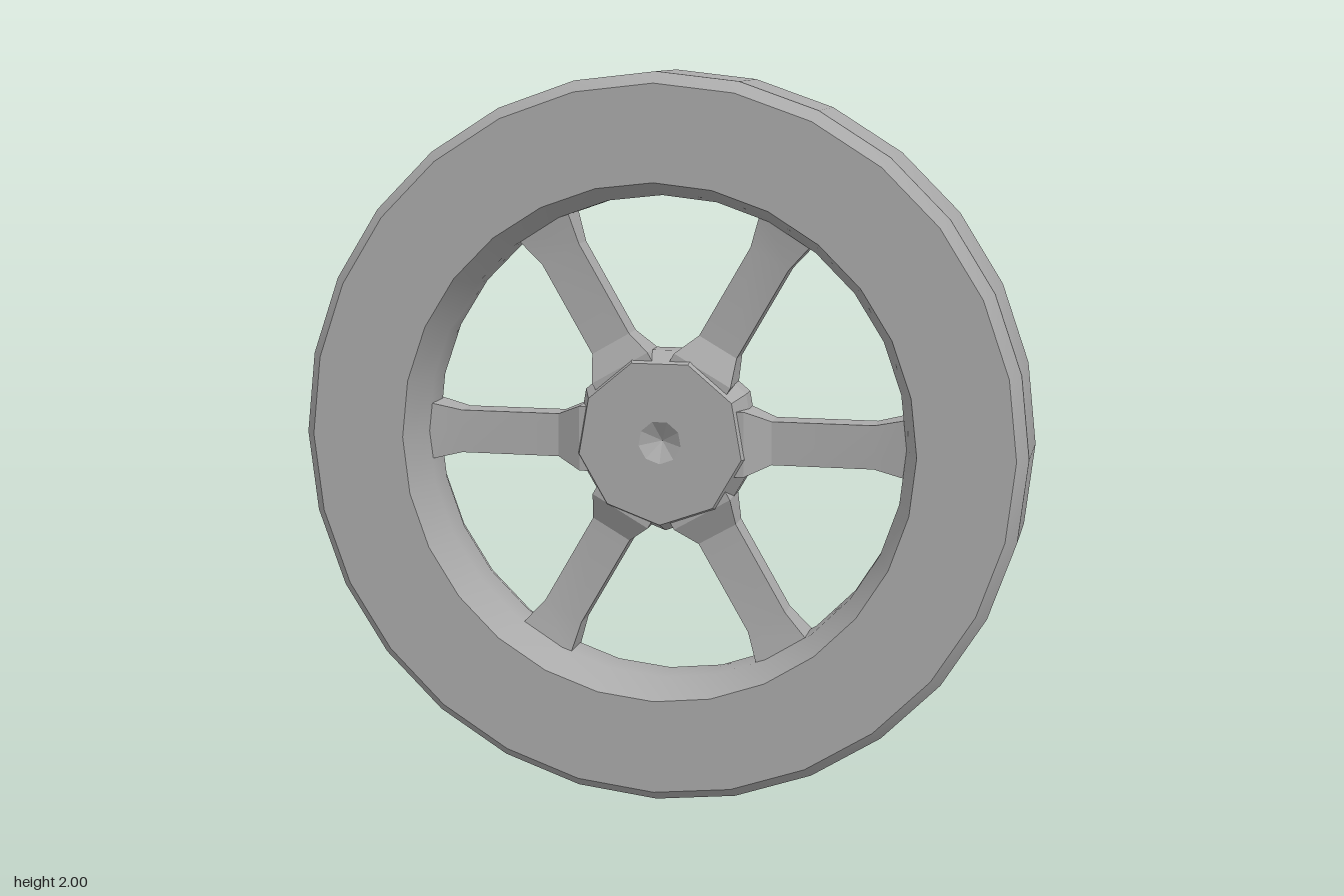
import * as THREE from 'three';
import { toCreasedNormals } from 'three/addons/utils/BufferGeometryUtils.js';

const grey = new THREE.MeshStandardMaterial({ color: 0xaaaaaa });
grey.name = 'grey';

// Revolves a [radius, z] profile around the wheel axis (z)
function revolve(profile, sides, crease) {
  const pts = profile.map(([r, z]) => new THREE.Vector2(r, z));
  const geo = new THREE.LatheGeometry(pts, sides).rotateX(Math.PI / 2);
  return toCreasedNormals(geo, crease);
}

// Spoke cross-sections: [radius, half width, back z, front z]
const STATIONS = [
  [0.15, 0.09, -0.05, 0.07],
  [0.23, 0.09, -0.05, 0.07],
  [0.30, 0.06, -0.05, 0.03],
  [0.58, 0.06, -0.05, 0.03],
  [0.69, 0.085, -0.07, 0.05],
];

function spokeGeometry() {
  const n = STATIONS.length - 1;
  const geo = new THREE.BoxGeometry(n, 2, 2, n, 1, 1);
  const p = geo.attributes.position;
  for (let i = 0; i < p.count; i++) {
    const [r, w, back, front] = STATIONS[Math.round(p.getX(i) + n / 2)];
    p.setXYZ(i, r, p.getY(i) * w, p.getZ(i) > 0 ? front : back);
  }
  return toCreasedNormals(geo, 0.2);
}

export function createModel() {
  const wheel = new THREE.Group();
  wheel.name = 'wheel';
  const add = (name, geo) => {
    const mesh = new THREE.Mesh(geo, grey);
    mesh.name = name;
    mesh.position.y = 1;
    wheel.add(mesh);
    return mesh;
  };

  // Heavy bevelled rim with a raised inner ridge
  add('rim', revolve([
    [0.71, -0.16], [0.97, -0.16], [1, -0.125], [1, 0.125], [0.97, 0.16],
    [0.71, 0.16], [0.67, 0.05], [0.67, -0.05], [0.71, -0.16],
  ], 28, 0.5));

  // Hub: flush at the back, raised at the front, dented at both centres
  add('hub', revolve([
    [0, -0.02], [0.06, -0.05], [0.26, -0.05], [0.26, 0.01],
    [0.23, 0.085], [0.06, 0.085], [0, 0.05],
  ], 9, 0.2));

  // Six spokes
  const spoke = spokeGeometry();
  for (let i = 0; i < 6; i++) {
    add('spoke' + (i + 1), spoke).rotation.z = (i * Math.PI) / 3;
  }
  return wheel;
}
